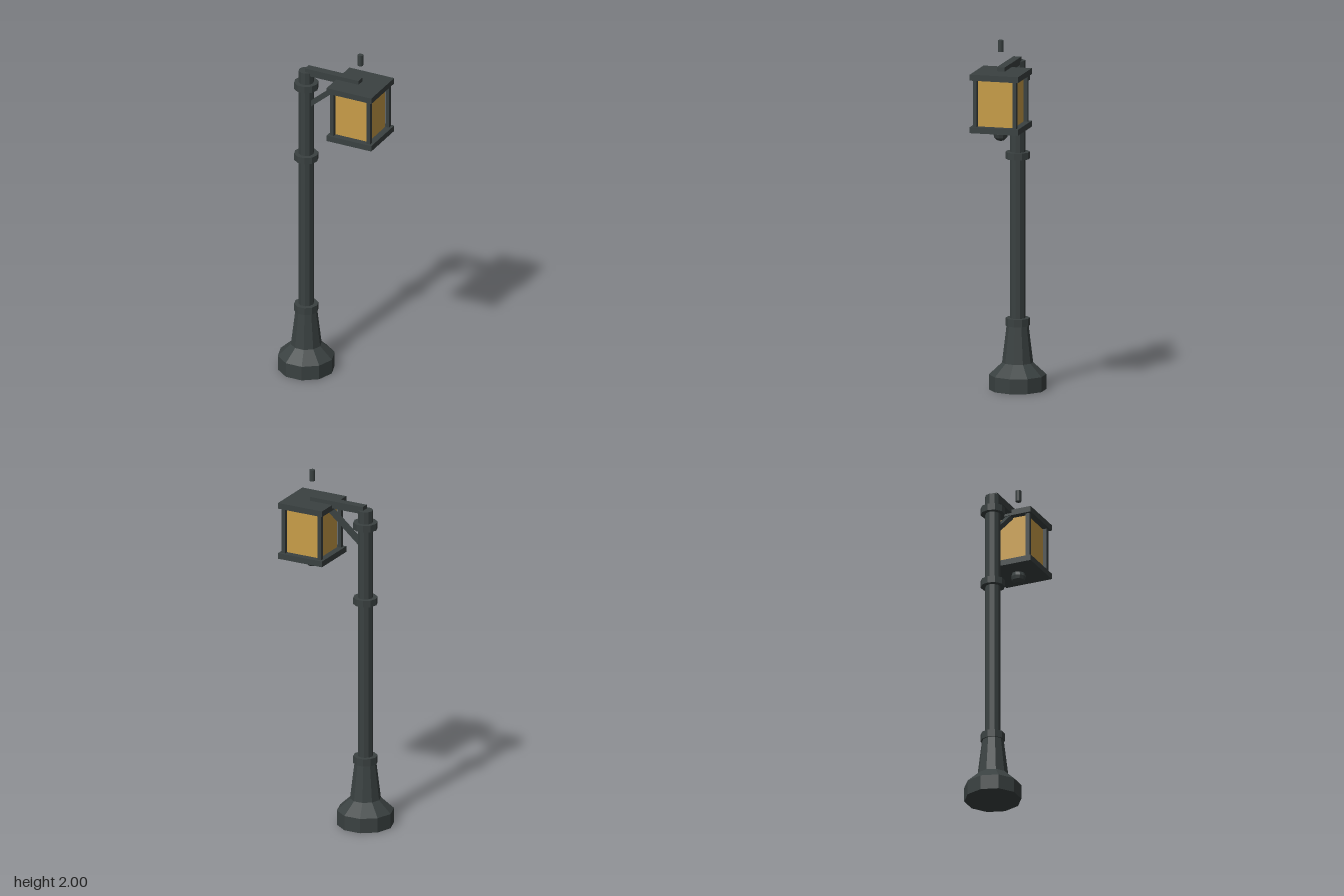
import * as THREE from 'three';

export function createModel() {
  const model = new THREE.Group();
  const iron = new THREE.MeshStandardMaterial({ color: 0x3a4141, flatShading: true });
  iron.name = 'dark iron';
  const amber = new THREE.MeshStandardMaterial({ color: 0xc89d48, flatShading: true });
  amber.name = 'amber glass';

  const POLE_X = -0.157, LAMP_X = 0.175;

  const add = (name, geometry, x, y, z = 0, material = iron, parent = model) => {
    const mesh = new THREE.Mesh(geometry, material);
    mesh.name = name;
    mesh.position.set(x, y, z);
    parent.add(mesh);
    return mesh;
  };
  // Ten-sided drum between two heights, with a corner facing +x
  const drum = (name, x, y0, y1, rBottom, rTop = rBottom) =>
    add(name, new THREE.CylinderGeometry(rTop, rBottom, y1 - y0, 10).rotateY(Math.PI / 2), x, (y0 + y1) / 2);

  // Stepped foot and pole
  drum('footPlinth', POLE_X, 0, 0.083, 0.157);
  drum('footShoulder', POLE_X, 0.083, 0.15, 0.157, 0.085);
  drum('footTaper', POLE_X, 0.15, 0.357, 0.085, 0.06);
  drum('pole', POLE_X, 0.35, 1.827, 0.042);
  [[0.355, 0.397], [1.282, 1.32], [1.718, 1.757]].forEach(([a, b], i) =>
    drum('collar' + (i + 1), POLE_X, a, b, 0.067));

  // Arm and diagonal brace
  add('arm', new THREE.BoxGeometry(0.328, 0.042, 0.045), 0.011, 1.828);
  const brace = add('brace', new THREE.BoxGeometry(0.27, 0.027, 0.027), -0.035, 1.71);
  brace.rotation.z = Math.atan2(0.145, 0.17);

  // Lantern: plates, corner posts and glass
  const lantern = new THREE.Group();
  lantern.name = 'lantern';
  lantern.position.x = LAMP_X;
  model.add(lantern);
  const plate = new THREE.BoxGeometry(0.274, 0.033, 0.274);
  add('lanternRoof', plate, 0, 1.81, 0, iron, lantern);
  add('lanternFloor', plate, 0, 1.518, 0, iron, lantern);
  const post = new THREE.BoxGeometry(0.022, 0.26, 0.022);
  for (const sx of [-1, 1]) for (const sz of [-1, 1])
    add('cornerPost', post, sx * 0.112, 1.664, sz * 0.112, iron, lantern);
  add('glass', new THREE.BoxGeometry(0.2, 0.26, 0.2), 0, 1.664, 0, amber, lantern);

  // Knob below and small finial above
  add('bottomKnob', new THREE.SphereGeometry(0.041, 10, 6), 0, 1.481, 0, iron, lantern);
  drum('finial', LAMP_X, 1.937, 2, 0.016);

  return model;
}
